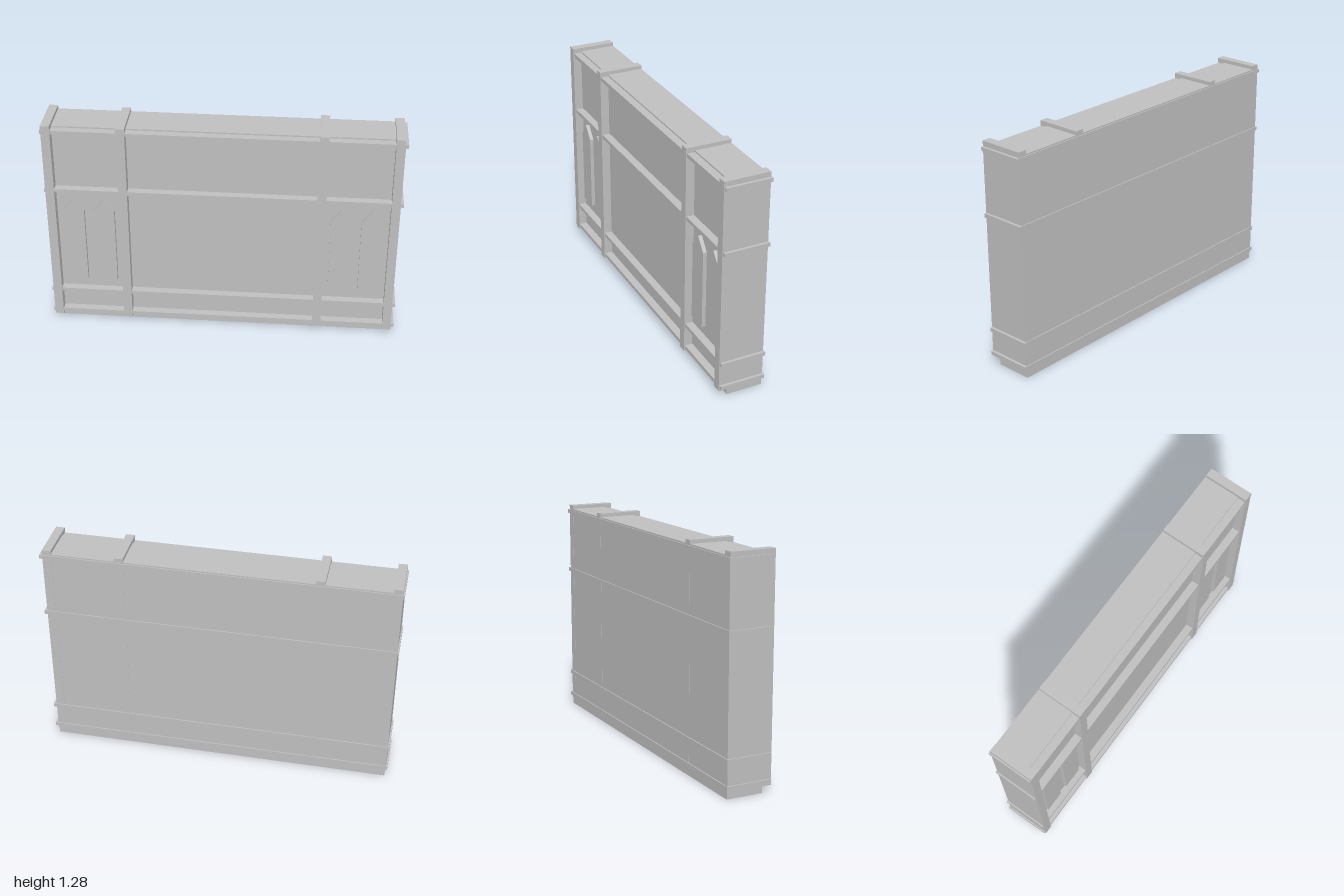
import * as THREE from 'three';

export function createModel() {
  const model = new THREE.Group();
  model.name = 'wallSection';
  const grey = new THREE.MeshStandardMaterial({ color: 0xbfbfbf });
  grey.name = 'stone grey';

  // Box given by its extents on each axis
  function box(name, x0, x1, y0, y1, z0, z1) {
    const mesh = new THREE.Mesh(new THREE.BoxGeometry(x1 - x0, y1 - y0, z1 - z0), grey);
    mesh.position.set((x0 + x1) / 2, (y0 + y1) / 2, (z0 + z1) / 2);
    mesh.name = name;
    model.add(mesh);
  }

  // Wall slab
  const wallFront = 0.084;
  box('wall', -0.987, 0.981, 0, 1.263, -0.127, wallFront);

  // Upright posts
  for (const x of [-0.967, -0.556, 0.551, 0.959]) {
    box('post', x - 0.025, x + 0.025, 0.038, 1.284, -0.128, 0.134);
  }

  // Horizontal rails wrapping around the wall
  for (const y of [0.062, 0.207, 0.877, 1.244]) {
    box('rail', -1, 1, y - 0.011, y + 0.011, -0.133, 0.129);
  }

  // Raised pointed window panels
  const outline = new THREE.Shape();
  outline.moveTo(-0.06, 0.28);
  outline.lineTo(0.06, 0.28);
  outline.lineTo(0.06, 0.74);
  outline.lineTo(0, 0.815);
  outline.lineTo(-0.06, 0.74);
  outline.closePath();
  const panel = new THREE.ExtrudeGeometry(outline, { depth: 0.024, bevelEnabled: false });
  for (const x of [-0.846, -0.674, 0.667, 0.838]) {
    const mesh = new THREE.Mesh(panel, grey);
    mesh.position.set(x, 0, wallFront - 0.002);
    mesh.name = 'pointedPanel';
    model.add(mesh);
  }

  return model;
}
